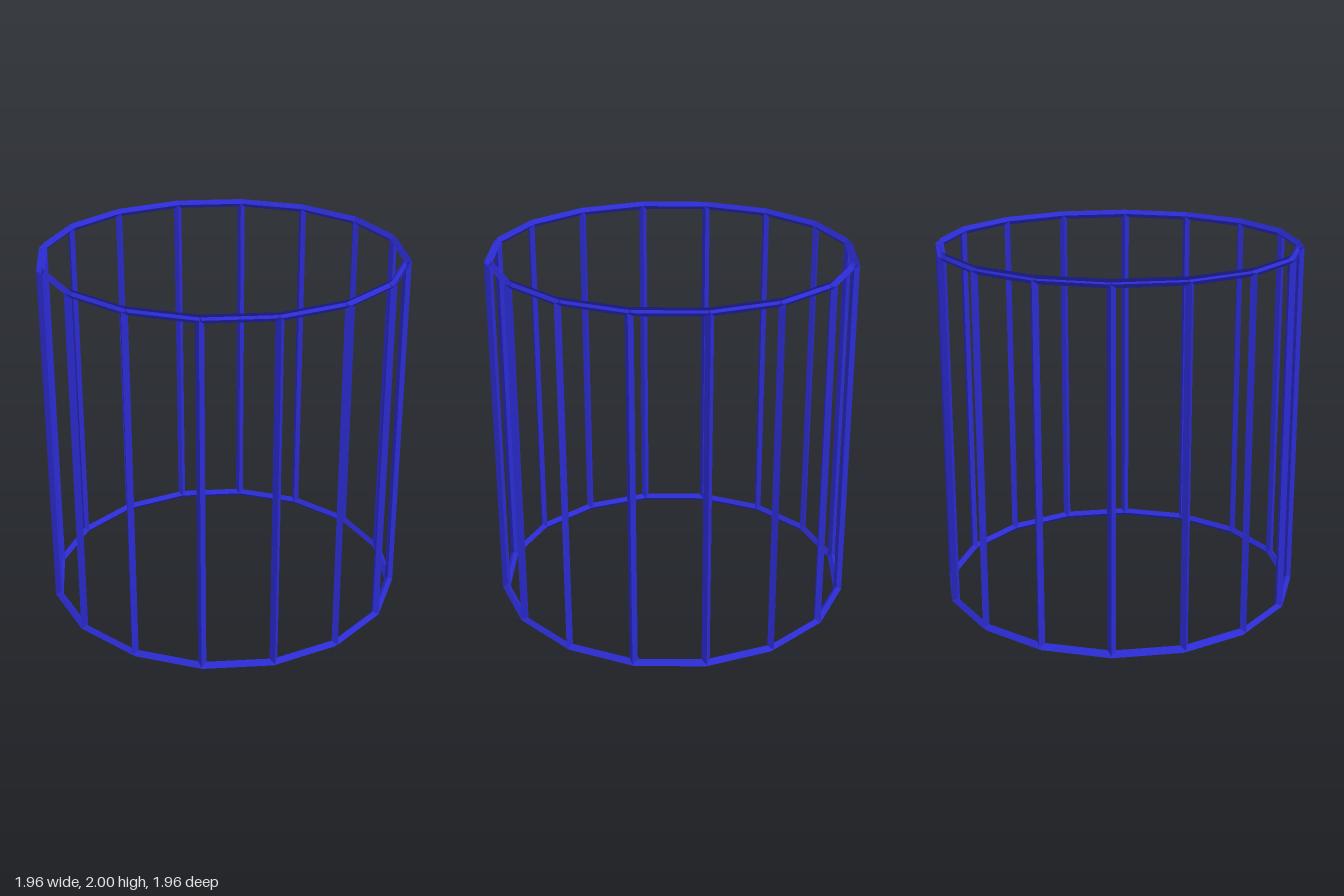
import * as THREE from 'three';

const SIDES = 16;
const R = 0.976;       // radius to the corner posts
const T = 0.0225;      // half thickness of every bar
const LOW = T, HIGH = 2 - T;
const STEP = (Math.PI * 2) / SIDES;

// Point on a corner line: radius, corner index, height
function corner(radius, k, y) {
  const a = (k + 0.5) * STEP;
  return new THREE.Vector3(Math.sin(a) * radius, y, Math.cos(a) * radius);
}

// Point on a panel's bottom or top edge, moved sideways by T from corner k towards corner j
function inset(k, j, y) {
  const p = corner(R, k, y);
  const along = corner(R, j, y).sub(p).setLength(T);
  return p.add(along);
}

function meshFromQuads(name, quads, material) {
  const points = quads.flatMap(([a, b, c, d]) => [a, b, c, a, c, d]);
  const geometry = new THREE.BufferGeometry().setFromPoints(points);
  geometry.computeVertexNormals();
  const mesh = new THREE.Mesh(geometry, material);
  mesh.name = name;
  return mesh;
}

// Horizontal ring of diamond bars, open on its outer rim face
function ringQuads(top) {
  const y = top ? HIGH : LOW;
  const dir = top ? 1 : -1;
  const quads = [];
  for (let k = 0; k < SIDES; k++) {
    const o0 = corner(R + T, k, y), o1 = corner(R + T, k + 1, y);
    const i0 = corner(R - T, k, y), i1 = corner(R - T, k + 1, y);
    const s0 = inset(k, k + 1, y - dir * T), s1 = inset(k + 1, k, y - dir * T);
    const b0 = corner(R, k, y + dir * T), b1 = corner(R, k + 1, y + dir * T);
    const faces = [
      [s0, s1, o1, o0],   // outer face towards the panel
      [i0, i1, s1, s0],   // inner face towards the panel
      [b0, b1, i1, i0],   // inner rim face
    ];
    quads.push(...faces.map((f) => (top ? f : f.reverse())));
  }
  return quads;
}

// Diamond post with mitred ends, its corners pointing outwards, inwards and sideways
function postQuads(k) {
  const o0 = corner(R + T, k, LOW), o1 = corner(R + T, k, HIGH);
  const i0 = corner(R - T, k, LOW), i1 = corner(R - T, k, HIGH);
  const r0 = inset(k, k + 1, LOW + T), r1 = inset(k, k + 1, HIGH - T);
  const l0 = inset(k, k - 1, LOW + T), l1 = inset(k, k - 1, HIGH - T);
  return [
    [o0, r0, r1, o1],
    [r0, i0, i1, r1],
    [i0, l0, l1, i1],
    [l0, o0, o1, l1],
  ];
}

export function createModel() {
  const group = new THREE.Group();
  group.name = 'cylindricalFrame';
  const material = new THREE.MeshStandardMaterial({
    color: 0x2b2bd2, flatShading: true, side: THREE.DoubleSide,
  });

  group.add(meshFromQuads('topRing', ringQuads(true), material));
  group.add(meshFromQuads('bottomRing', ringQuads(false), material));

  const posts = new THREE.Group();
  posts.name = 'posts';
  for (let k = 0; k < SIDES; k++) {
    posts.add(meshFromQuads('post', postQuads(k), material));
  }
  group.add(posts);
  return group;
}
